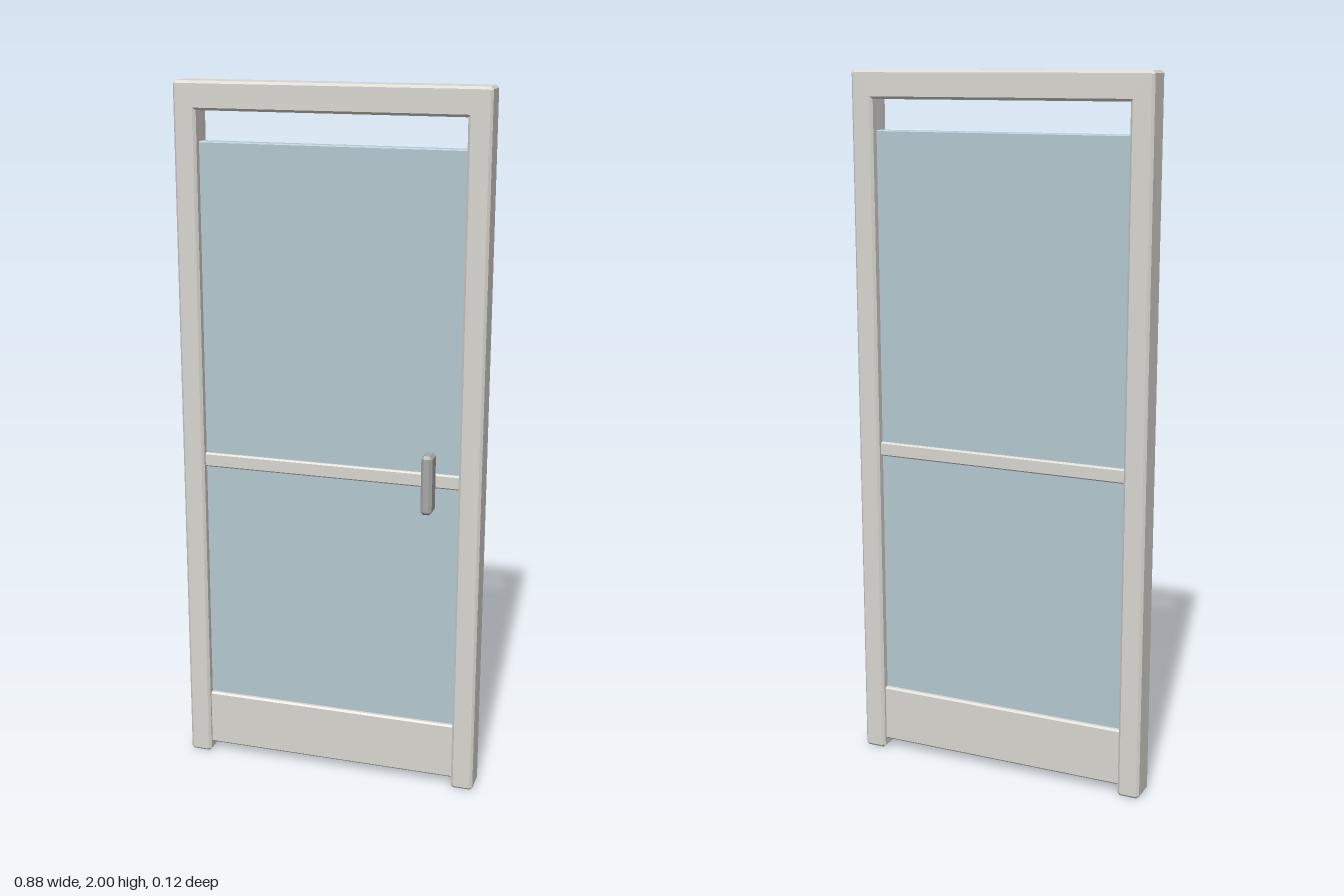
import * as THREE from 'three';
import { ConvexGeometry } from 'three/addons/geometries/ConvexGeometry.js';

const metal = new THREE.MeshStandardMaterial({ color: 0xd8d6d0, flatShading: true });
const glass = new THREE.MeshStandardMaterial({ color: 0xb3c8cf, flatShading: true });
const steel = new THREE.MeshStandardMaterial({ color: 0xa8a8a8, flatShading: true });

// Box given by its limits, with every edge chamfered by c
function chamferBox(name, [x0, x1], [y0, y1], [z0, z1], c, material) {
  const h = [(x1 - x0) / 2, (y1 - y0) / 2, (z1 - z0) / 2];
  const points = [];
  for (const sx of [-1, 1]) for (const sy of [-1, 1]) for (const sz of [-1, 1])
    for (let full = 0; full < 3; full++) {
      const p = [sx, sy, sz].map((s, i) => s * (h[i] - (i === full ? 0 : c)));
      points.push(new THREE.Vector3(...p));
    }
  const mesh = new THREE.Mesh(new ConvexGeometry(points), material);
  mesh.position.set((x0 + x1) / 2, (y0 + y1) / 2, (z0 + z1) / 2);
  mesh.name = name;
  return mesh;
}

// Two jambs and the header as one bevelled, upside-down U
function doorFrame() {
  const W = 0.438, inner = 0.374, head = 1.922, c = 0.007;
  const right = [[inner, head], [inner, c], [inner + c, 0], [W - c, 0], [W, c], [W, 2 - c], [W - c, 2]];
  const left = right.map(([x, y]) => [-x, y]).reverse();
  const shape = new THREE.Shape([...right, ...left].map(([x, y]) => new THREE.Vector2(x, y)));
  const geometry = new THREE.ExtrudeGeometry(shape, {
    depth: 0.082 - 2 * c, bevelThickness: c, bevelSize: c, bevelOffset: -c, bevelSegments: 1,
  });
  geometry.translate(0, 0, -0.06 + c);
  const mesh = new THREE.Mesh(geometry, metal);
  mesh.name = 'doorFrame';
  return mesh;
}

export function createModel() {
  const door = new THREE.Group();
  door.name = 'glassDoor';
  const span = [-0.378, 0.378];

  door.add(doorFrame());
  // Glass pane, with an open gap beneath the header
  door.add(chamferBox('glassPane', span, [0.17, 1.838], [-0.035, -0.003], 0.003, glass));
  // Horizontal rail and bottom kick panel stand proud of the glass
  door.add(chamferBox('middleRail', span, [0.912, 0.953], [-0.045, 0.007], 0.004, metal));
  door.add(chamferBox('kickPanel', span, [0.027, 0.194], [-0.048, 0.01], 0.005, metal));
  // Upright pull handle on the front of the door
  door.add(chamferBox('pullHandle', [0.276, 0.308], [0.848, 1.018], [0.005, 0.059], 0.008, steel));

  return door;
}
